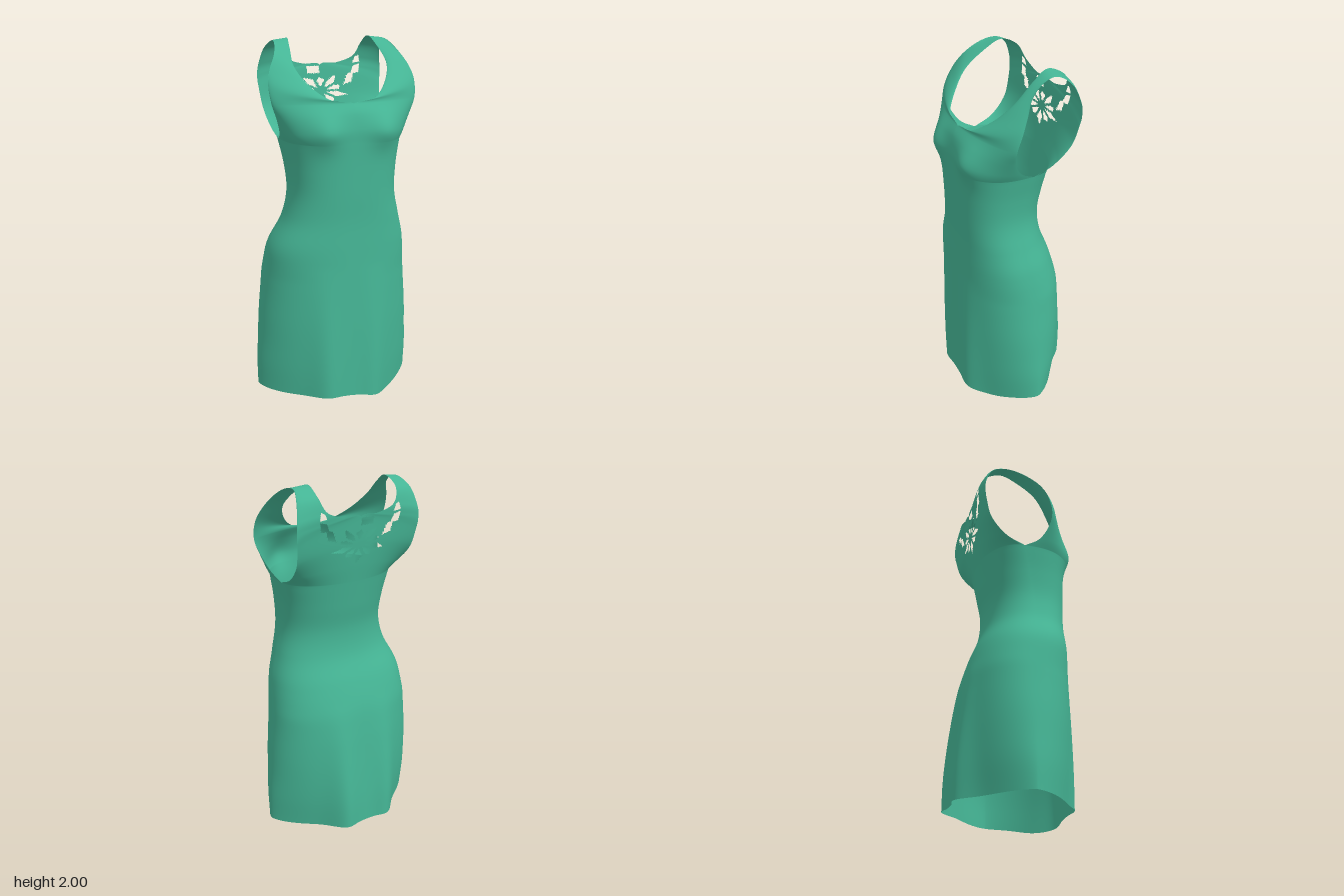
import * as THREE from 'three';
import { mergeVertices } from 'three/addons/utils/BufferGeometryUtils.js';

const V = (x, y, z) => new THREE.Vector3(x, y, z);
const curve = (pts) => new THREE.CatmullRomCurve3(pts.map((p) => V(...p)), false, 'catmullrom', 0.5);
const { lerp, smoothstep } = THREE.MathUtils;

const SEAM = 1.475; // height of the underarm, where the tube meets the bodice
const COLS = 60;

// Half width, front depth and back depth at equal steps from hem to underarm
const profile = curve([
  [0.46, 0.308, 0.312], [0.46, 0.308, 0.308], [0.45, 0.307, 0.30], [0.44, 0.305, 0.29],
  [0.425, 0.302, 0.278], [0.41, 0.299, 0.258], [0.387, 0.296, 0.215], [0.332, 0.293, 0.16],
  [0.299, 0.297, 0.148], [0.305, 0.30, 0.172], [0.33, 0.303, 0.197],
]);

// Front and back cross-section powers from hem to underarm:
// below 1 is squarish, 1 an ellipse, 2 a diamond
const powers = curve([
  [1.25, 1.4, 0], [1.06, 1.1, 0], [0.93, 0.95, 0], [0.85, 0.89, 0], [0.77, 0.94, 0], [0.7, 0.95, 0],
]);

// Armhole edge, from underarm up the front, over the shoulder and down the back
const armhole = curve([
  [0.33, SEAM, 0], [0.348, 1.52, 0.08], [0.378, 1.6, 0.13], [0.406, 1.68, 0.14],
  [0.414, 1.77, 0.115], [0.396, 1.845, 0.08], [0.355, 1.92, 0.03], [0.328, 1.972, -0.05],
  [0.32, 1.98, -0.13], [0.345, 1.93, -0.2], [0.365, 1.84, -0.238], [0.37, 1.78, -0.243],
  [0.365, 1.72, -0.235], [0.352, 1.61, -0.2], [0.338, 1.52, -0.11], [0.33, SEAM, 0],
]);

// Centre front, neckline, shoulder, back neckline and centre back
const neckline = curve([
  [0, SEAM, 0.303], [0, 1.55, 0.303], [0, 1.63, 0.287], [0, 1.68, 0.26],
  [0.12, 1.70, 0.242], [0.212, 1.77, 0.168], [0.262, 1.86, 0.08], [0.25, 1.95, -0.03],
  [0.235, 1.995, -0.12], [0.235, 1.95, -0.215], [0.2, 1.875, -0.25], [0.1, 1.84, -0.253],
  [0, 1.83, -0.248], [0, 1.7, -0.235], [0, 1.58, -0.217], [0, SEAM, -0.197],
]);

// Cut-outs in the back yoke: a ring of shards, a small window and side slits
function makeCutouts() {
  const list = [];
  const add = (...pts) => list.push(pts);
  for (let i = 0; i < 10; i++) {
    const a = (i / 10) * Math.PI * 2 + 0.3;
    const at = (r, d) => [0.02 + Math.cos(a + d) * r * 1.4, 1.685 + Math.sin(a + d) * r * 0.85];
    add(at(0.025, 0), at(0.08, -0.22), at(i % 2 ? 0.12 : 0.09, 0.08), at(0.07, 0.25));
  }
  add([-0.06, 1.785], [0.015, 1.785], [0.015, 1.825], [-0.06, 1.825]);
  for (const s of [-1, 1]) {
    const q = (x, y) => [0.02 + s * x, y];
    add(q(0.14, 1.715), q(0.19, 1.73), q(0.205, 1.79), q(0.165, 1.775));
    add(q(0.185, 1.775), q(0.235, 1.78), q(0.245, 1.83), q(0.205, 1.82));
    add(q(0.2, 1.835), q(0.245, 1.84), q(0.235, 1.88), q(0.215, 1.87));
  }
  return list;
}

function inside(poly, x, y) {
  let hit = false;
  poly.forEach(([ax, ay], i) => {
    const [bx, by] = poly[(i + 1) % poly.length];
    if (ay > y !== by > y && x < ax + ((bx - ax) * (y - ay)) / (by - ay)) hit = !hit;
  });
  return hit;
}

const gauss = (d, w) => Math.exp(-((d / w) ** 2));

// Rounds out the bust on the front
function bust(p) {
  if (p.z > 0) p.z += 0.035 * gauss(p.x - 0.17, 0.09) * gauss(p.y - 1.54, 0.09);
  return p;
}

// Half of the skirt and waist: u runs from centre front to centre back, v from hem up
function tubePoint(u, v, s) {
  const a = u * Math.PI;
  const c = Math.cos(a);
  const { x: w, y: f, z: b } = profile.getPoint(v);
  const pw = powers.getPoint(v);
  const power = c > 0 ? pw.x : pw.y;
  const x = w * Math.pow(Math.max(0, Math.sin(a)), power);
  // Wavy hem, lowest at the front left
  const low = 0.042 * gauss(s * x - 0.23, 0.16) * smoothstep(c, -0.1, 0.7);
  const hem = 0.05 - 0.013 * Math.max(0, c) - low;
  const y = hem + (SEAM - hem) * v;
  // The widest line moves forward at the waist
  const d = Math.min(0.375, Math.abs(y - 1.1));
  const side = 0.06 * Math.cos((d * Math.PI) / 0.75);
  let z = side + ((c > 0 ? f : -b) - side) * Math.pow(Math.abs(c), power);
  // Soft folds that fade out towards the hips
  z *= 1 + (c > 0 ? 0.12 : 0.22) * Math.max(0, 1 - y / 0.8) * gauss(x - 0.15, 0.08);
  const p = bust(V(x, y, z));
  p.x = s * p.x + 0.02 * smoothstep(y, 0.85, 1.08);
  return p;
}

// Half of the bodice and its strap: u runs from neckline to armhole, v over the shoulder
function bodicePoint(u, v, s) {
  const i = neckline.getPoint(v);
  const o = armhole.getPoint(v);
  const a = (u * Math.PI) / 2;
  const seam = powers.getPoint(1);
  const power = lerp(v < 0.5 ? seam.x : seam.y, 1.4, smoothstep(Math.min(v, 1 - v), 0, 0.27));
  const xi = Math.max(0, i.x);
  const c = u === 1 ? 0 : Math.pow(Math.cos(a), power);
  const p = bust(V(
    xi + (o.x - xi) * Math.pow(Math.sin(a), power),
    lerp(i.y, o.y, u),
    o.z + (i.z - o.z) * c,
  ));
  p.x = s * p.x + 0.02;
  return p;
}

// Adds a grid of triangles, leaving out those for which skip() is true
function addPatch(out, point, nu, nv, s, skip = () => false) {
  const g = [];
  for (let j = 0; j <= nv; j++) {
    g.push([]);
    for (let i = 0; i <= nu; i++) g[j].push(point(i / nu, j / nv, s));
  }
  const tri = (a, b, c) => {
    if (skip(a.clone().add(b).add(c).divideScalar(3))) return;
    for (const q of s > 0 ? [a, b, c] : [a, c, b]) out.push(q.x, q.y, q.z);
  };
  for (let j = 0; j < nv; j++) {
    for (let i = 0; i < nu; i++) {
      tri(g[j][i], g[j][i + 1], g[j + 1][i + 1]);
      tri(g[j][i], g[j + 1][i + 1], g[j + 1][i]);
    }
  }
}

export function createModel() {
  const group = new THREE.Group();
  group.name = 'sleevelessDress';
  const fabric = new THREE.MeshStandardMaterial({ color: 0x45b595, side: THREE.DoubleSide });
  fabric.name = 'greenFabric';

  const cutouts = makeCutouts();
  const isCut = (m) => m.z < -0.1 && m.y > 1.55 && cutouts.some((c) => inside(c, m.x, m.y));

  const positions = [];
  for (const s of [1, -1]) {
    addPatch(positions, tubePoint, COLS * 2, 60, s);
    addPatch(positions, bodicePoint, COLS, 300, s, isCut);
  }
  // Weld the halves so the cloth is smooth across its seams
  let geometry = new THREE.BufferGeometry();
  geometry.setAttribute('position', new THREE.Float32BufferAttribute(positions, 3));
  geometry = mergeVertices(geometry, 1e-5);
  geometry.computeVertexNormals();

  const dress = new THREE.Mesh(geometry, fabric);
  dress.name = 'dress';
  group.add(dress);
  return group;
}
